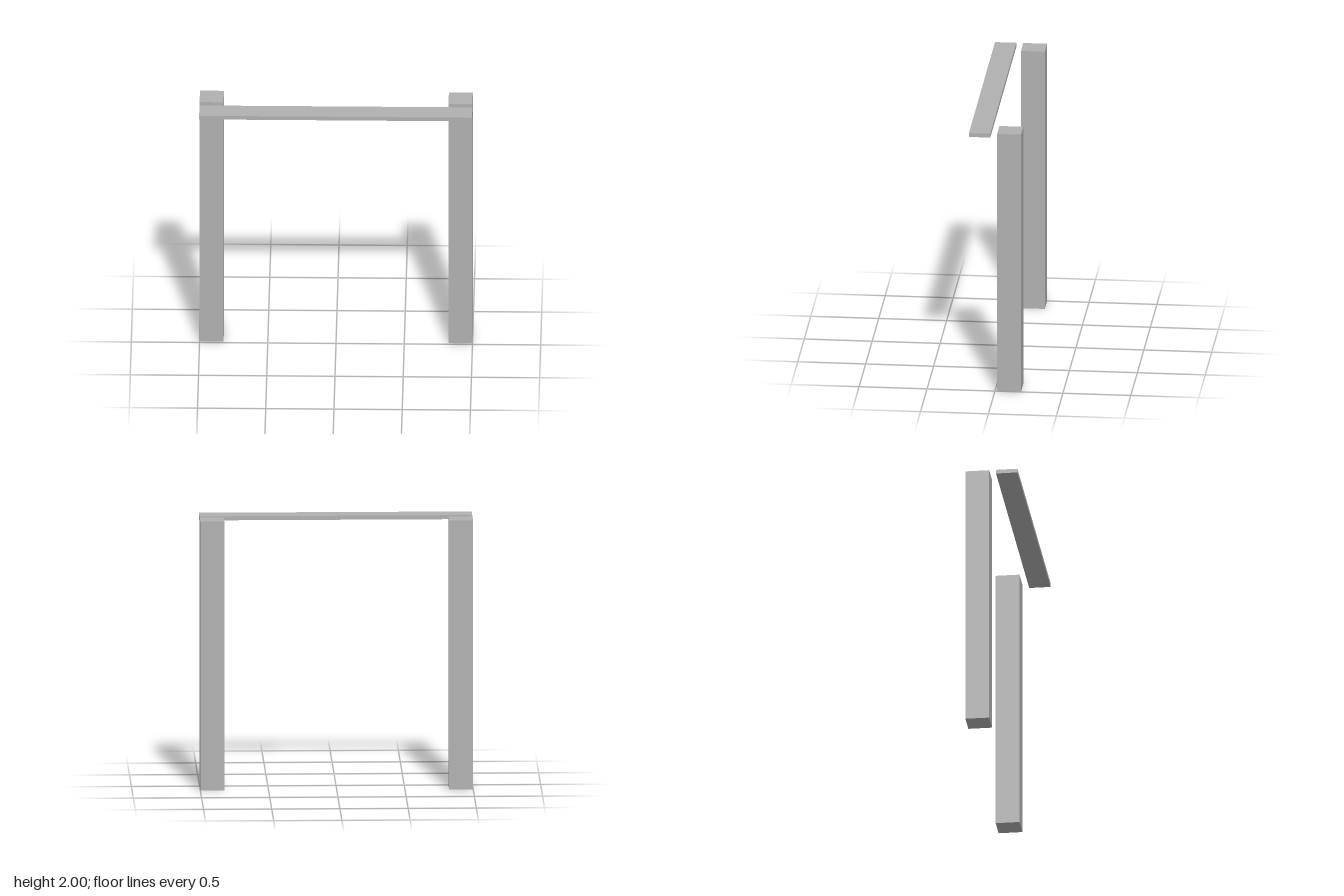
import * as THREE from 'three';

export function createModel() {
  const model = new THREE.Group();
  model.name = 'postFrame';

  const grey = new THREE.MeshStandardMaterial({ color: 0xb0b0b0 });
  grey.name = 'grey';

  function addBox(name, size, position) {
    const mesh = new THREE.Mesh(new THREE.BoxGeometry(...size), grey);
    mesh.name = name;
    mesh.position.set(...position);
    model.add(mesh);
  }

  // Pair of square upright posts
  const postWidth = 0.176;
  for (const side of [-1, 1]) {
    addBox(side > 0 ? 'leftPost' : 'rightPost',
      [postWidth, 2, postWidth],
      [side * (1 - postWidth / 2), 1, -0.192 + postWidth / 2]);
  }

  // Thin flat rail, set just in front of the posts and flush with their tops
  addBox('topRail', [2, 0.03, 0.158], [0, 1.985, 0.113]);

  return model;
}
